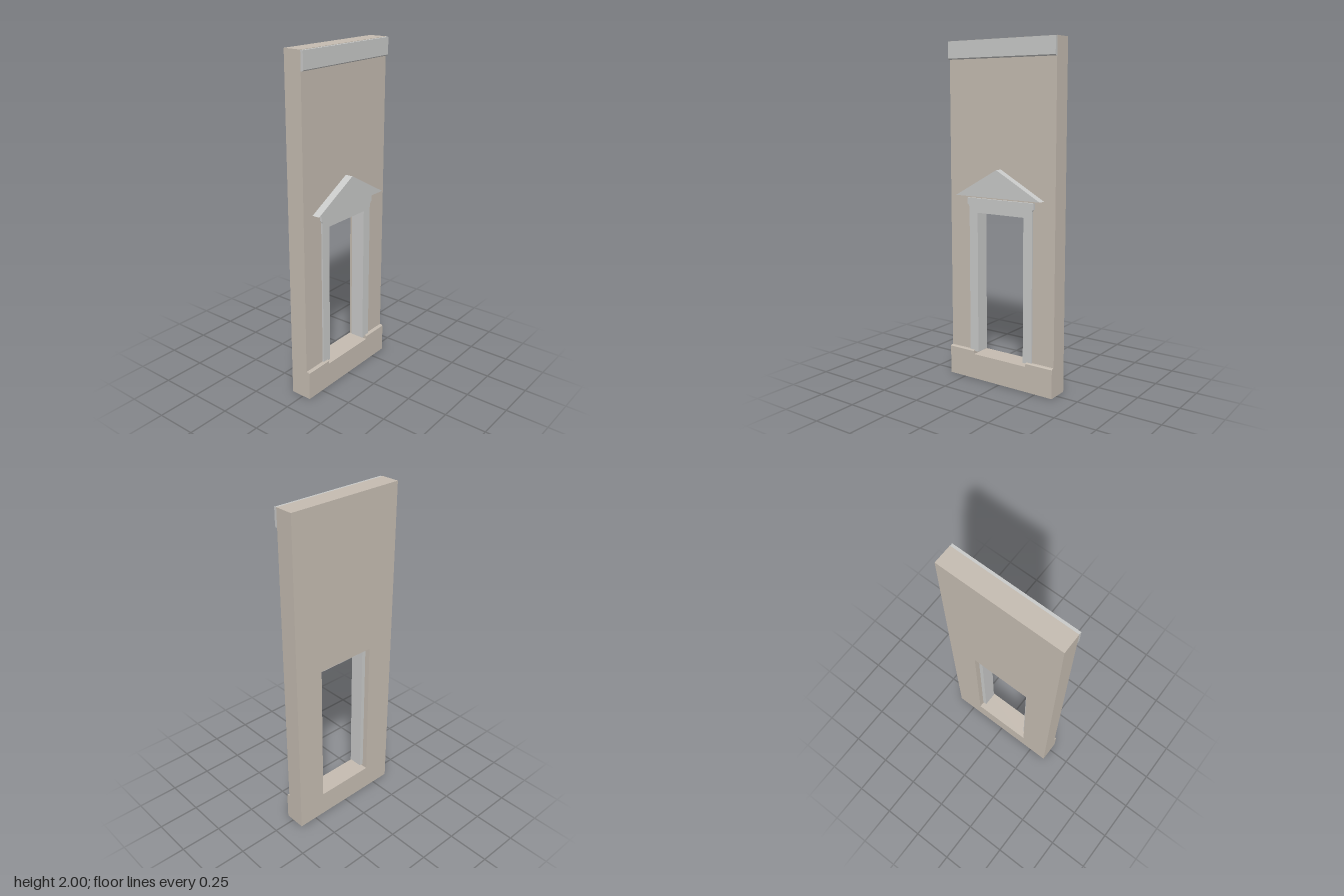
import * as THREE from 'three';

const stone = new THREE.MeshStandardMaterial({ color: 0xc4bbb0 });
stone.name = 'warm stone';
const trim = new THREE.MeshStandardMaterial({ color: 0xc8c9c8 });
trim.name = 'grey trim';

const W = 0.363;              // half width of the wall
const BACK = -0.078;          // rear face
const FACE = 0.032;           // front face of the wall
const HOLE = 0.185;           // half width of the wall opening
const SILL = 0.152, HEAD = 1.045;

const polygon = (pts) => new THREE.Shape(pts.map(([x, y]) => new THREE.Vector2(x, y)));

// Front outline extruded from z0 to z1
function slab(shape, z0, z1) {
  const g = new THREE.ExtrudeGeometry(shape, { depth: z1 - z0, bevelEnabled: false });
  return g.translate(0, 0, z0);
}

// Side profile of [z, y] points swept along x from x0 to x1
function band(profile, x0, x1) {
  const g = new THREE.ExtrudeGeometry(polygon(profile.map(([z, y]) => [-z, y])),
    { depth: x1 - x0, bevelEnabled: false });
  return g.rotateY(Math.PI / 2).translate(x0, 0, 0);
}

// Upside-down U: outer half width and top, inner half width and top
function arch(ow, ot, iw, it, y0) {
  return polygon([[-ow, y0], [-iw, y0], [-iw, it], [iw, it], [iw, y0], [ow, y0], [ow, ot], [-ow, ot]]);
}

export function createModel() {
  const model = new THREE.Group();
  model.name = 'wallPanelWithWindow';
  const add = (name, geometry, material) => {
    const mesh = new THREE.Mesh(geometry, material);
    mesh.name = name;
    model.add(mesh);
  };

  // Wall with the window opening
  const wall = polygon([[-W, 0], [W, 0], [W, 2], [-W, 2]]);
  wall.holes.push(polygon([[-HOLE, SILL], [-HOLE, HEAD], [HOLE, HEAD], [HOLE, SILL]]));
  add('wall', slab(wall, BACK, FACE), stone);

  // Plinth, cut down under the window, with chamfered shoulders
  const low = [[FACE, 0], [0.052, 0], [0.052, SILL], [FACE, SILL]];
  const shoulder = [[FACE, 0], [0.052, 0], [0.052, 0.17], [0.046, 0.176], [FACE, 0.176]];
  add('plinthUnderWindow', band(low, -HOLE, HOLE), stone);
  add('plinthRight', band(shoulder, -W, -HOLE), stone);
  add('plinthLeft', band(shoulder, HOLE, W), stone);

  // Cornice band at the top
  add('cornice', band([[FACE, 1.895], [0.042, 1.895], [0.048, 1.901], [0.048, 1.998], [FACE, 1.998]], -W, W), trim);

  // Window lining set into the opening, and the casing on the wall face
  add('windowLining', slab(arch(HOLE, HEAD, 0.16, 1.015, 0.168), -0.045, FACE), trim);
  add('windowCasing', slab(arch(0.219, 1.055, 0.16, 1.015, 0.168), FACE, 0.041), trim);

  // Lintel with stepped ends
  add('lintel', slab(polygon([
    [-0.219, 1.052], [0.219, 1.052], [0.221, 1.06], [0.23, 1.065],
    [0.23, 1.101], [-0.23, 1.101], [-0.23, 1.065], [-0.221, 1.06],
  ]), FACE, 0.046), trim);

  // Triangular pediment
  add('pediment', slab(polygon([[-0.29, 1.115], [0.29, 1.115], [0, 1.276]]), FACE, 0.078), trim);

  return model;
}
